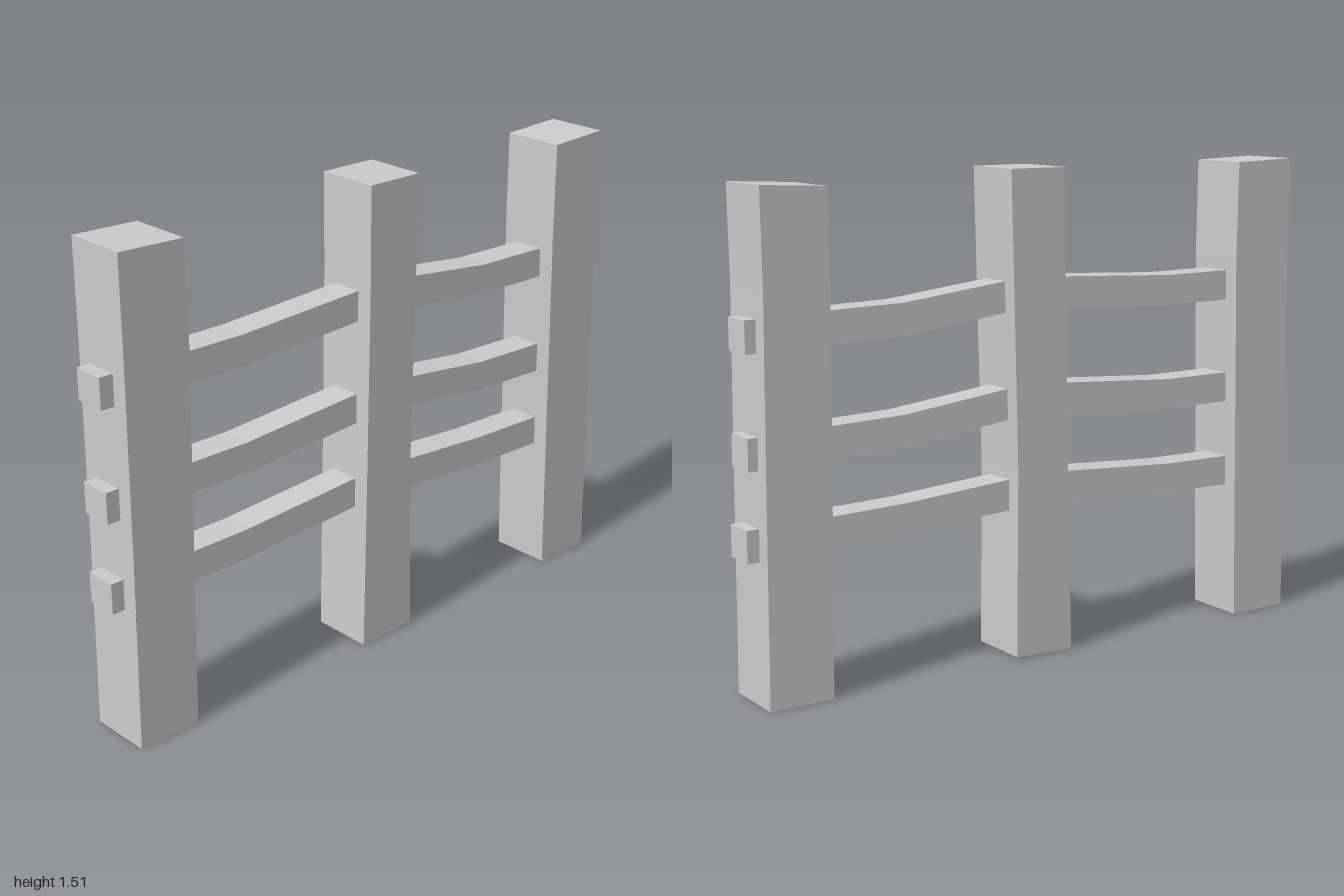
import * as THREE from 'three';

const material = new THREE.MeshStandardMaterial({ color: 0xcccccc, flatShading: true });

// Skins a run of four-cornered rings (counter-clockwise seen from the far end) and caps both ends.
function loft(name, rings) {
  const positions = [];
  const quad = (a, b, c, d) => [a, b, c, a, c, d].forEach((p) => positions.push(...p));
  for (let i = 0; i < rings.length - 1; i++) {
    for (let j = 0; j < 4; j++) {
      const k = (j + 1) % 4;
      quad(rings[i][j], rings[i][k], rings[i + 1][k], rings[i + 1][j]);
    }
  }
  quad(...[...rings[0]].reverse());
  quad(...rings[rings.length - 1]);
  const geometry = new THREE.BufferGeometry();
  geometry.setAttribute('position', new THREE.Float32BufferAttribute(positions, 3));
  geometry.computeVertexNormals();
  const mesh = new THREE.Mesh(geometry, material);
  mesh.name = name;
  return mesh;
}

// Post levels: [y at back, y at front, z at back, z at front]
const POSTS = {
  frontPost: [[0, 0, 0.755, 0.963], [0.6, 0.6, 0.745, 0.957], [1.2, 1.2, 0.735, 0.955], [1.5, 1.507, 0.74, 0.957]],
  middlePost: [[0.008, 0, -0.12, 0.085], [0.6, 0.6, -0.115, 0.07], [1.2, 1.2, -0.13, 0.057], [1.507, 1.507, -0.138, 0.055]],
  backPost: [[0, 0, -0.965, -0.76], [0.6, 0.6, -0.961, -0.753], [1.2, 1.2, -0.955, -0.747], [1.49, 1.48, -0.959, -0.75]],
};

function post(name, levels) {
  const x0 = -0.104, x1 = 0.101;
  return loft(name, levels.map(([yb, yf, zb, zf]) => [
    [x0, yf, zf], [x1, yf, zf], [x1, yb, zb], [x0, yb, zb],
  ]));
}

// Underside heights of each sagging rail at the stations below, back to front
const STATIONS = [-0.99, -0.75, -0.48, -0.12, 0.05, 0.5, 0.74, 1];
const RAILS = {
  lowerRail: [0.428, 0.432, 0.439, 0.464, 0.468, 0.439, 0.436, 0.435],
  middleRail: [0.69, 0.697, 0.705, 0.746, 0.748, 0.717, 0.717, 0.717],
  upperRail: [1.022, 1.03, 1.035, 1.075, 1.077, 1.053, 1.054, 1.058],
};

function rail(name, heights) {
  const x0 = -0.054, x1 = 0.048, thick = 0.096;
  return loft(name, heights.map((y, i) => {
    const z = i === 0 && name === 'lowerRail' ? -1 : STATIONS[i];
    return [[x0, y, z], [x1, y, z], [x1, y + thick, z], [x0, y + thick, z]];
  }));
}

export function createModel() {
  const fence = new THREE.Group();
  fence.name = 'fence';
  for (const [name, levels] of Object.entries(POSTS)) fence.add(post(name, levels));
  for (const [name, heights] of Object.entries(RAILS)) fence.add(rail(name, heights));
  return fence;
}
